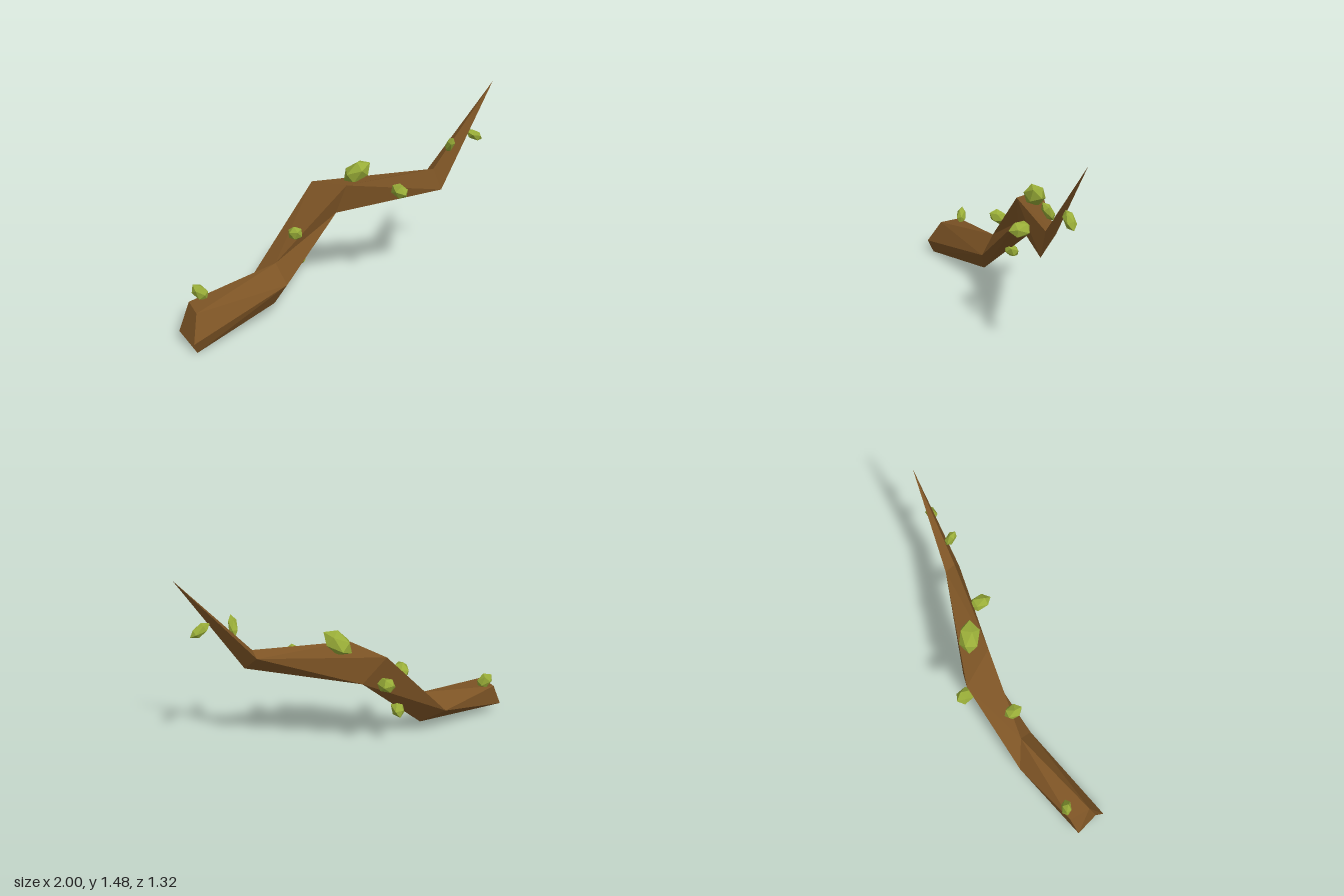
import * as THREE from 'three';

// Five-corner rings along the branch: right, bottom, left, upper left, top.
// Repeated corners let the branch thin down to a triangle and then a point.
function branchGeometry() {
  const A1 = [-0.335, 0.255, 0.135], B1 = [-0.425, 0.11, 0.135], E1 = [-0.6, 0.25, 0.07], C1 = [-0.42, 0.385, 0.07];
  const A2 = [-0.03, 0.67, -0.16], B2 = [-0.06, 0.66, -0.33], E2 = [-0.21, 0.84, -0.29], C2 = [0.04, 0.875, -0.16];
  const A3 = [0.68, 0.77, -0.39], E3 = [0.58, 0.885, -0.47], C3 = [0.62, 0.915, -0.41];
  const tip = [1, 1.475, -0.66];
  const rings = [
    [[-0.86, 0.09, 0.66], [-0.855, 0, 0.615], [-1, 0.08, 0.49], [-0.94, 0.262, 0.42], [-0.86, 0.255, 0.55]],
    [A1, B1, E1, C1, C1],
    [A2, B2, E2, C2, C2],
    [A3, E3, E3, C3, C3],
    [tip, tip, tip, tip, tip],
  ];
  const positions = [];
  const tri = (a, b, c) => {
    if (a !== b && b !== c && c !== a) positions.push(...a, ...b, ...c);
  };
  for (let i = 0; i < rings.length - 1; i++) {
    for (let j = 0; j < 5; j++) {
      const k = (j + 1) % 5;
      const a = rings[i][j], b = rings[i][k], c = rings[i + 1][k], d = rings[i + 1][j];
      if (j === 4) { tri(a, b, c); tri(a, c, d); }
      else { tri(a, b, d); tri(b, c, d); }
    }
  }
  // Cut end
  const [A, B, E, D, C] = rings[0];
  tri(C, D, E);
  tri(C, E, B);
  tri(C, B, A);
  const geometry = new THREE.BufferGeometry();
  geometry.setAttribute('position', new THREE.Float32BufferAttribute(positions, 3));
  geometry.computeVertexNormals();
  return geometry;
}

export function createModel() {
  const group = new THREE.Group();
  const wood = new THREE.MeshStandardMaterial({ color: 0x7d5425, flatShading: true });
  const green = new THREE.MeshStandardMaterial({ color: 0x99ad38, flatShading: true });

  const branch = new THREE.Mesh(branchGeometry(), wood);
  branch.name = 'branch';
  group.add(branch);

  // Faceted bud with a corner pointing along y
  const budGeometry = new THREE.IcosahedronGeometry(1, 0).rotateX(-Math.atan((1 + Math.sqrt(5)) / 2));
  // Centre, growing direction, half length, half widths
  const buds = [
    [[-0.87, 0.32, 0.39], [-0.6, 0.7, 0], 0.07, 0.05, 0.038],
    [[-0.29, 0.587, 0.012], [0.3, 0.4, 0.7], 0.07, 0.053, 0.05],
    [[-0.275, 0.345, -0.085], [-0.3, -0.7, -0.6], 0.068, 0.05, 0.045],
    [[-0.21, 0.65, -0.31], [-0.6, 0.3, -0.6], 0.075, 0.055, 0.05],
    [[0.1, 0.925, -0.285], [0.75, 0.6, 0], 0.115, 0.07, 0.075],
    [[0.395, 0.815, -0.235], [0.45, 0, 0.75], 0.082, 0.057, 0.05],
    [[0.725, 1.088, -0.432], [0.25, 0.85, 0.45], 0.072, 0.032, 0.032],
    [[0.893, 1.115, -0.567], [0.75, -0.5, -0.4], 0.074, 0.036, 0.036],
  ];
  const up = new THREE.Vector3(0, 1, 0);
  buds.forEach(([centre, direction, length, width, depth], i) => {
    const bud = new THREE.Mesh(budGeometry, green);
    bud.name = `bud${i + 1}`;
    bud.position.set(...centre);
    bud.quaternion.setFromUnitVectors(up, new THREE.Vector3(...direction).normalize());
    bud.scale.set(width, length, depth);
    group.add(bud);
  });
  return group;
}
